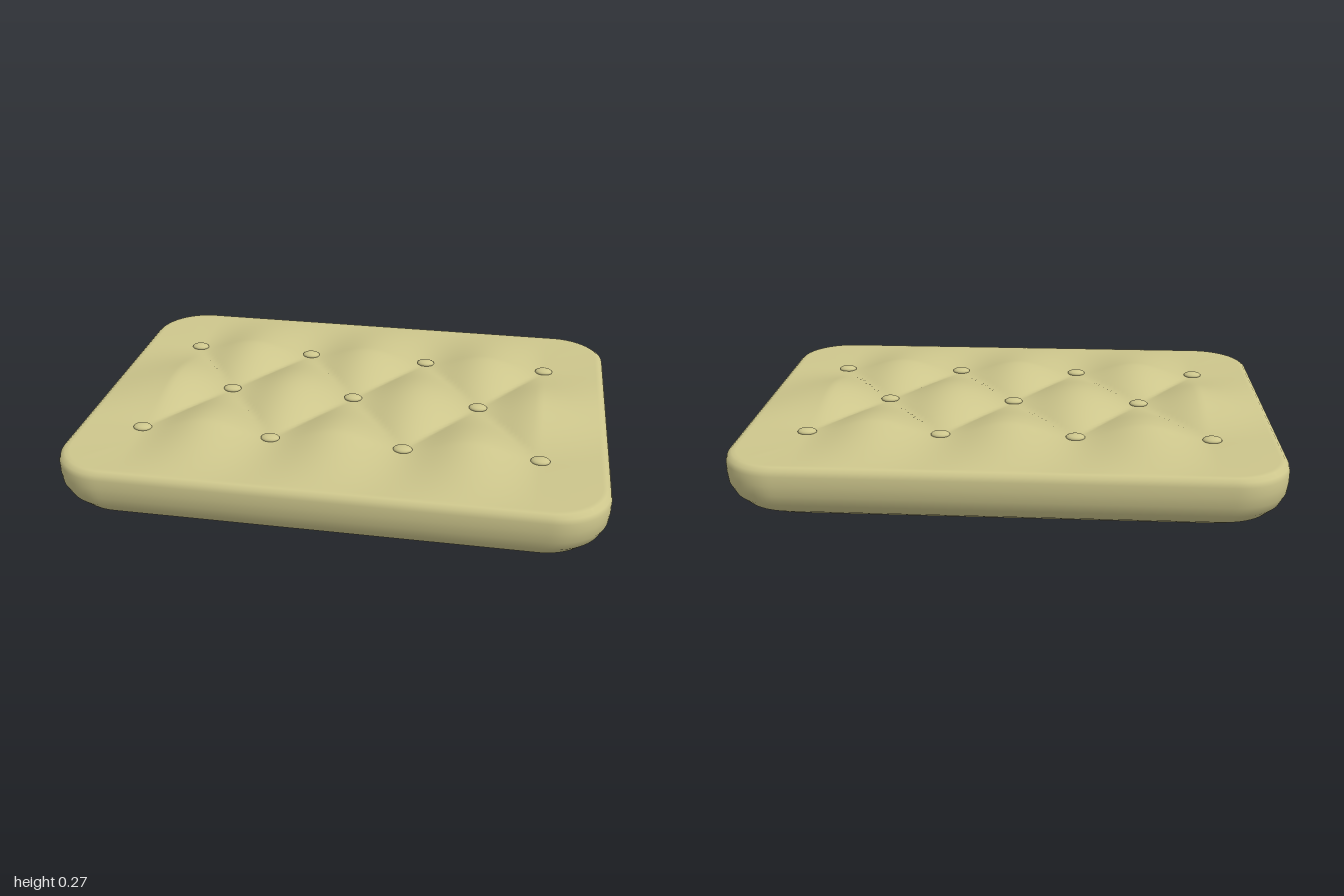
import * as THREE from 'three';
import { mergeVertices } from 'three/addons/utils/BufferGeometryUtils.js';

const HALF_X = 1, HALF_Z = 0.74, CORNER = 0.2;
const ROW_X = 0.75, ROW_Z = 0.375; // outermost buttons
const LOW = 0.212, PUFF = 0.054, RIM = 0.22;

// side wall from bottom to rim: inset, height
const WALL = [
  [0.17, 0], [0.12, 0.007], [0.085, 0.018], [0.048, 0.04], [0.02, 0.075],
  [0.004, 0.115], [0, 0.155], [0, 0.19], [0.005, 0.209], [0.018, RIM],
];

const clamp = THREE.MathUtils.clamp;
const lerp = THREE.MathUtils.lerp;

// bends the square corners of the plan into round ones
function roundPlan(x, z) {
  const cx = clamp(x, -HALF_X + CORNER, HALF_X - CORNER);
  const cz = clamp(z, -HALF_Z + CORNER, HALF_Z - CORNER);
  const dx = x - cx, dz = z - cz, len = Math.hypot(dx, dz);
  const k = len > 0 ? Math.max(Math.abs(dx), Math.abs(dz)) / len : 1;
  return [cx + dx * k, cz + dz * k];
}

// diamond pillows between the buttons, fading to a level rim
function topHeight(x, z, tx, tz) {
  const px = clamp(x, -ROW_X, ROW_X), pz = clamp(z, -ROW_Z, ROW_Z);
  const a = px / 0.5 + pz / 0.75, b = px / 0.5 - pz / 0.75;
  const puff = Math.abs(Math.sin(Math.PI * a) * Math.sin(Math.PI * b));
  const fadeX = clamp((tx - ROW_X) / (HALF_X - ROW_X), 0, 1);
  const fadeZ = clamp((tz - ROW_Z) / (HALF_Z - ROW_Z), 0, 1);
  const fade = 1 - (1 - fadeX) * (1 - fadeZ);
  return lerp(LOW + PUFF * puff, RIM, fade);
}

function cushionGeometry() {
  const layers = WALL.length - 1;
  let geo = new THREE.BoxGeometry(2 * HALF_X, 1, 2 * HALF_Z, 120, layers, 80);
  geo.deleteAttribute('uv');
  geo.deleteAttribute('normal');
  geo = mergeVertices(geo, 1e-4);
  const pos = geo.attributes.position;
  for (let i = 0; i < pos.count; i++) {
    const x0 = pos.getX(i), z0 = pos.getZ(i);
    const layer = Math.round((pos.getY(i) + 0.5) * layers);
    const [inset, wallY] = WALL[layer];
    const [px, pz] = roundPlan(x0, z0);
    const x = px * (1 - inset / HALF_X), z = pz * (1 - inset / HALF_Z);
    const y = layer === layers ? topHeight(x, z, Math.abs(x0), Math.abs(z0)) : wallY;
    pos.setXYZ(i, x, y, z);
  }
  geo.computeVertexNormals();
  return geo;
}

export function createModel() {
  const group = new THREE.Group();
  group.name = 'tuftedCushion';
  const fabric = new THREE.MeshStandardMaterial({ color: 0xcdc68c });

  const cushion = new THREE.Mesh(cushionGeometry(), fabric);
  cushion.name = 'cushion';
  group.add(cushion);

  // staggered rows of buttons
  const buttonGeo = new THREE.SphereGeometry(1, 20, 12);
  buttonGeo.scale(0.036, 0.014, 0.027);
  const rows = [[-ROW_Z, [-0.75, -0.25, 0.25, 0.75]], [0, [-0.5, 0, 0.5]], [ROW_Z, [-0.75, -0.25, 0.25, 0.75]]];
  for (const [z, xs] of rows) {
    for (const x of xs) {
      const button = new THREE.Mesh(buttonGeo, fabric);
      button.name = 'button';
      button.position.set(x, 0.217, z);
      group.add(button);
    }
  }
  return group;
}
